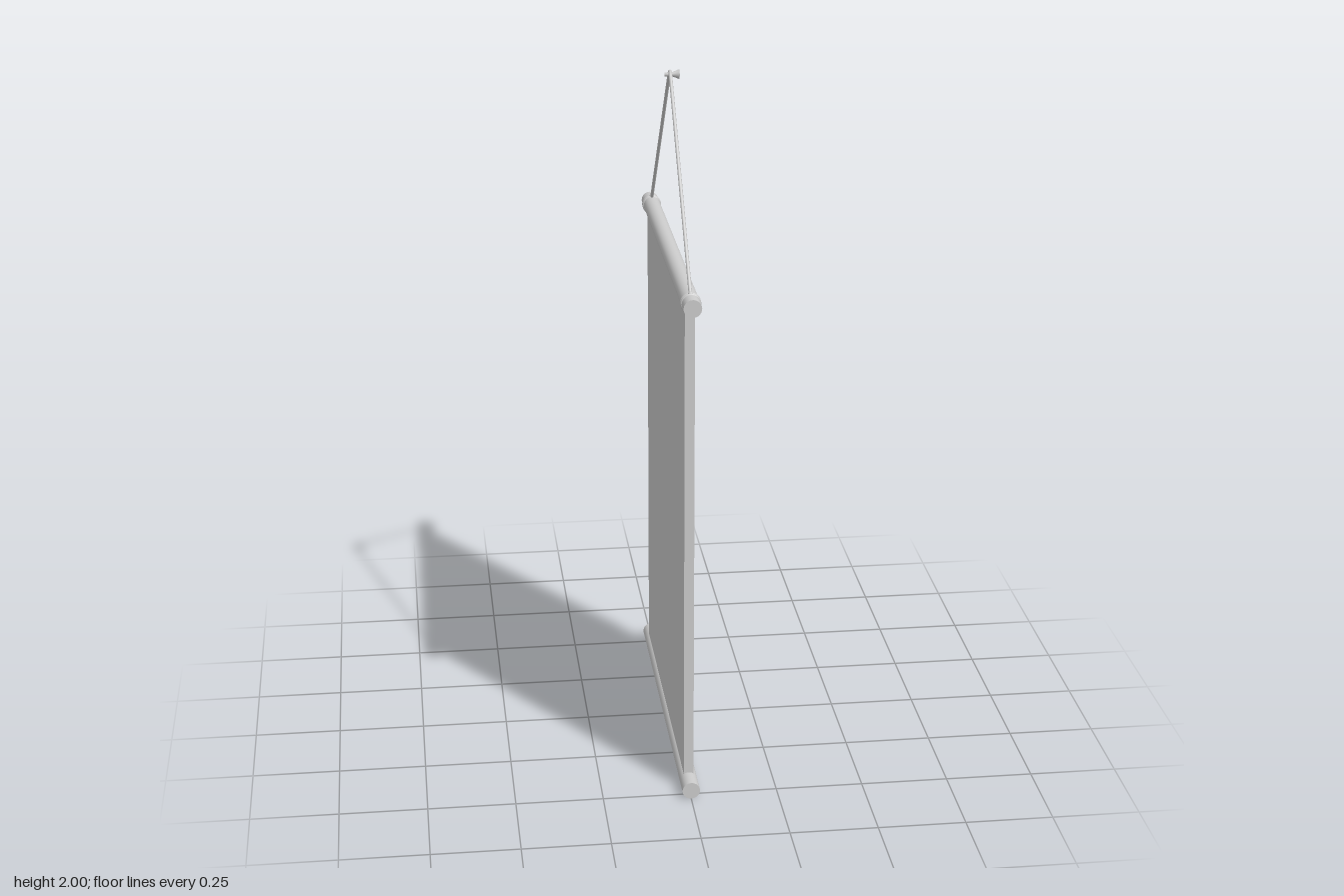
import * as THREE from 'three';

export function createModel() {
  const group = new THREE.Group();
  const material = new THREE.MeshStandardMaterial({ color: 0xcccccc });
  const add = (name, geometry, x = 0, y = 0, z = 0) => {
    const mesh = new THREE.Mesh(geometry, material);
    mesh.name = name;
    mesh.position.set(x, y, z);
    group.add(mesh);
    return mesh;
  };

  const topY = 1.475, bottomY = 0.025, rodRadius = 0.025, loopZ = 0.477;

  // Hanging sheet between the two rods
  add('sheet', new THREE.BoxGeometry(0.028, topY - bottomY, 0.93), 0, (topY + bottomY) / 2, 0);

  // Round rods along z
  for (const [name, y] of [['upperRod', topY], ['lowerRod', bottomY]]) {
    const rod = new THREE.CylinderGeometry(rodRadius, rodRadius, 1.056, 32).rotateX(Math.PI / 2);
    add(name, rod, 0, y, 0);
  }

  // Cord windings and knots near both ends of the upper rod
  for (const side of [-1, 1]) {
    for (const offset of [-0.005, 0.005]) {
      add('cordLoop', new THREE.TorusGeometry(0.0235, 0.005, 8, 32), 0, topY, side * loopZ + offset);
    }
    add('cordKnot', new THREE.SphereGeometry(0.007, 12, 8), 0, topY + rodRadius, side * loopZ);
  }

  // Cord: two straight runs joined by a small bend over the pin
  const cord = new THREE.CurvePath();
  const point = (y, z) => new THREE.Vector3(0, y, z);
  cord.add(new THREE.LineCurve3(point(topY + 0.02, -loopZ), point(1.986, -0.014)));
  cord.add(new THREE.QuadraticBezierCurve3(point(1.986, -0.014), point(2.003, 0), point(1.986, 0.014)));
  cord.add(new THREE.LineCurve3(point(1.986, 0.014), point(topY + 0.02, loopZ)));
  add('cord', new THREE.TubeGeometry(cord, 160, 0.005, 8, false));

  // Pin with a flared head, pointing along x
  const profile = [[0, -0.015], [0.006, -0.015], [0.006, 0.006], [0.013, 0.024], [0.013, 0.026], [0, 0.026]]
    .map(([r, h]) => new THREE.Vector2(r, h));
  add('pin', new THREE.LatheGeometry(profile, 16).rotateZ(-Math.PI / 2), 0, 1.986, 0);

  return group;
}
